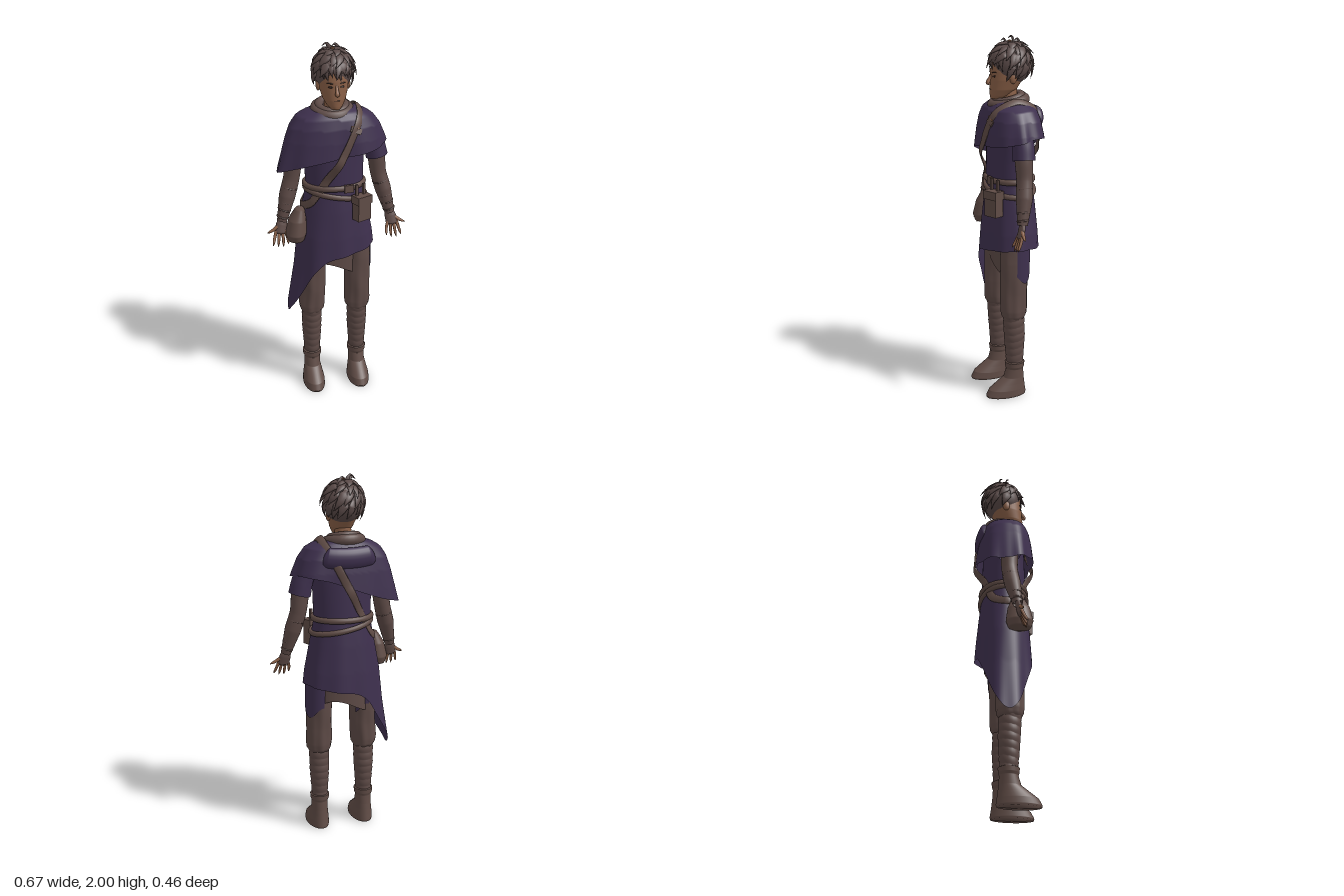
import * as THREE from 'three';
import { ParametricGeometry } from 'three/addons/geometries/ParametricGeometry.js';

const V = (x, y, z) => new THREE.Vector3(x, y, z);
const TAU = Math.PI * 2, CX = -0.015, CZ = -0.045;

export function createModel() {
  const mat = (name, color, side = THREE.FrontSide) => {
    const m = new THREE.MeshStandardMaterial({ color, side });
    m.name = name;
    return m;
  };
  const purple = mat('purple cloth', 0x3e304e, THREE.DoubleSide);
  const brown = mat('brown cloth', 0x5d4a46, THREE.DoubleSide);
  const leather = mat('leather', 0x604c46);
  const skin = mat('skin', 0x8a6047);
  const hairMat = mat('hair', 0x594947);
  const dark = mat('dark features', 0x35241f);

  const model = new THREE.Group();
  const figure = new THREE.Group();
  figure.name = 'figure';
  figure.rotation.y = Math.PI / 6;
  model.add(figure);
  const add = (name, geo, material, pos, rot) => {
    const m = new THREE.Mesh(geo, material);
    m.name = name;
    if (pos) m.position.set(...pos);
    if (rot) m.rotation.set(...rot);
    figure.add(m);
  };

  // Rows [y, rx, rz, cx, cz] run from top to bottom; interpolate at height y
  const ringAt = (rows, y) => {
    let k = 0;
    while (k < rows.length - 2 && y < rows[k + 1][0]) k++;
    const a = rows[k], b = rows[k + 1];
    const f = THREE.MathUtils.clamp((a[0] - y) / (a[0] - b[0]), 0, 1);
    return [1, 2, 3, 4].map(i => a[i] * (1 - f) + b[i] * f);
  };
  // Stack of horizontal ellipses with an optional slanted hem and folds
  const loft = (rows, nu, nv, { hem, fold, from = 0, to = TAU } = {}) =>
    new ParametricGeometry((u, v, p) => {
      const a = from + u * (to - from), top = rows[0][0];
      const y = top + v * ((hem ? hem(a) : rows[rows.length - 1][0]) - top);
      const [rx, rz, cx, cz] = ringAt(rows, y);
      const k = 1 + (fold ? fold(a, v, y) : 0);
      p.set(cx + rx * k * Math.cos(a), y, cz + rz * k * Math.sin(a));
    }, nu, nv);
  // Flattened tube along a curve; up() gives the thin direction
  const limb = (pts, radii, { flat = 1, up = () => V(0, 0, 1), closed = false, nu = 12, nv = 20 } = {}) => {
    const curve = new THREE.CatmullRomCurve3(pts, closed);
    return new ParametricGeometry((u, v, p) => {
      const c = curve.getPoint(v), T = curve.getTangent(v), N = up(c);
      N.addScaledVector(T, -N.dot(T)).normalize();
      const S = N.clone().cross(T);
      const x = v * (radii.length - 1), i = Math.min(Math.floor(x), radii.length - 2);
      const r = radii[i] + (radii[i + 1] - radii[i]) * (x - i), a = u * TAU;
      p.copy(c).addScaledVector(S, r * Math.cos(a)).addScaledVector(N, r * flat * Math.sin(a));
    }, nu, nv);
  };
  const ball = (rx, ry, rz) => new THREE.SphereGeometry(1, 24, 16).scale(rx, ry, rz);
  const centred = rows => rows.map(r => [...r, CX, CZ]);

  // Tunic with a long point on the right side
  const tunicRows = centred([[1.61, .13, .09], [1.5, .168, .115], [1.35, .16, .118], [1.22, .157, .12],
    [1.1, .18, .133], [.95, .208, .146], [.75, .228, .158], [.45, .275, .17]]);
  add('tunic', loft(tunicRows, 80, 40, {
    hem: a => .838 + .035 * Math.cos(a) - .33 * Math.max(0, -Math.cos(a)) ** 2.8,
    fold: (a, v) => .035 * Math.max(0, v - .45) * Math.sin(a * 9 + 1) + .02 * v * Math.sin(a * 4),
  }), purple);
  add('underskirt', loft(centred([[1, .15, .105], [.68, .15, .1]]), 40, 6, {
    hem: a => .74 - .04 * Math.sin(a * 2 + .6),
  }), brown);

  // Shoulder cape, boxy in plan and longer on the right
  const capeRows = centred([[1.672, .06, .055], [1.65, .15, .095], [1.62, .205, .125], [1.57, .24, .14],
    [1.5, .266, .15], [1.4, .294, .158], [1.3, .32, .165]]);
  const capeHem = a => 1.408 + .08 * Math.cos(a) - .02 * Math.sin(a * 2 + .6);
  const corner = a => .07 * Math.sin(2 * a) ** 2;
  add('cape', loft(capeRows, 80, 24, {
    hem: capeHem,
    fold: (a, v) => corner(a) + .03 * v * Math.sin(a * 7 + .5) + .012 * v * Math.sin(a * 12),
  }), purple);
  // Folded hood resting on the upper back
  add('hood', limb([V(-.15, 1.59, -.15), V(-.125, 1.582, -.16), V(-.012, 1.575, -.172), V(.1, 1.582, -.16), V(.125, 1.59, -.15)],
    [.004, .045, .056, .058, .058, .058, .056, .045, .004], { flat: .62, nu: 20, nv: 32 }), purple);
  for (const [r, t, y, tilt] of [[.086, .03, 1.65, .2], [.07, .024, 1.668, .25]])
    add('neckScarf', new THREE.TorusGeometry(r, t, 12, 40).rotateX(Math.PI / 2 + tilt), brown, [-.025, y, -.045]);

  // Two belts around the waist
  const band = (name, pts, half, flat) => add(name, limb(pts, [half, half], {
    flat, closed: true, nv: 96, up: p => V(p.x - CX, Math.max(0, p.y - 1.5), p.z - CZ),
  }), leather);
  const waist = height => Array.from({ length: 36 }, (_, i) => {
    const a = i / 36 * TAU, y = height(a), [rx, rz] = ringAt(tunicRows, y);
    return V(CX + (rx + .006) * Math.cos(a), y, CZ + (rz + .006) * Math.sin(a));
  });
  band('upperBelt', waist(() => 1.24), .016, .75);
  band('lowerBelt', waist(a => 1.19 - .03 * Math.cos(a)), .015, .75);

  // Diagonal strap from left shoulder to right hip, lying on cape and tunic
  const strapSide = sign => [[.108, 1.64], [.09, 1.6], [.045, 1.51], [.01, 1.44], [-.018, 1.388], [-.075, 1.29], [-.122, 1.21],
    [-.16, 1.15]].map(([x, y]) => {
    const overCape = y > 1.38;
    const [rx, rz] = ringAt(overCape ? capeRows : tunicRows, y);
    const a = Math.acos((x - CX) / rx), k = overCape ? 1 + corner(a) : 1;
    return V(x, y, CZ + sign * (rz * k * Math.sin(a) + .005));
  });
  band('shoulderStrap', [V(.112, 1.668, CZ), ...strapSide(1), V(-.2, 1.12, CZ), ...strapSide(-1).reverse()], .022, .25);
  add('strapBuckle', new THREE.BoxGeometry(.06, .03, .016), leather, [.075, 1.565, .09], [-.35, .2, -.35]);
  add('strapBuckleBar', new THREE.BoxGeometry(.05, .006, .008), skin, [.075, 1.582, .092], [-.35, .2, -.35]);
  add('beltBuckle', new THREE.BoxGeometry(.05, .042, .016), leather, [.04, 1.24, .084], [0, .1, 0]);

  // Left hip pouch and right hip bag
  add('pouch', new THREE.BoxGeometry(.085, .13, .055), leather, [.11, 1.125, .09], [0, .45, 0]);
  add('pouchFlap', new THREE.BoxGeometry(.094, .045, .064), leather, [.11, 1.178, .091], [0, .45, 0]);
  for (const x of [-.022, .022])
    add('pouchLoop', new THREE.BoxGeometry(.015, .07, .012), leather, [.103 + x, 1.225, .08 - x * .4], [0, .45, 0]);
  add('hipBag', loft([[1.13, .001, .001, -.215, .01], [1.12, .025, .035, -.215, .01], [1.06, .048, .06, -.23, .012],
    [.98, .058, .074, -.24, .014], [.94, .046, .06, -.24, .014], [.922, .001, .001, -.24, .014]], 28, 24), leather);

  for (const s of [1, -1]) {
    const side = s > 0 ? 'left' : 'right';

    // Trousers, leg wraps and boot
    const lx = -.015 + s * .128, sx = -.019 + s * .132;
    add(side + 'TrouserLeg', loft([[.95, .066, .08, lx, -.035], [.8, .074, .08, lx, -.03], [.62, .07, .076, lx, -.025],
      [.52, .072, .074, sx, -.025], [.485, .067, .07, sx, -.025], [.455, .047, .05, sx, -.025]], 40, 30, {
      fold: (a, v) => .035 * v * Math.sin(a * 8 + s) + .012 * Math.sin(a * 3 + v * 14),
    }), brown);
    add(side + 'LegWraps', loft([[.475, .055, .058, sx, -.025], [.36, .053, .057, sx, -.03], [.18, .042, .045, sx, -.032]], 28, 72, {
      fold: (a, v, y) => .05 * Math.abs(Math.sin(y * 75 + Math.sin(a) * .8)),
    }), brown);
    add(side + 'Boot', loft([[.205, .04, .044, sx, -.032], [.2, .054, .056, sx, -.032], [.175, .052, .054, sx, -.032],
      [.16, .045, .049, sx, -.032], [.11, .046, .058, sx, -.026], [.075, .053, .084, sx, -.004], [.045, .06, .106, sx, .014],
      [.012, .062, .117, sx, .02], [.002, .06, .115, sx, .02], [0, .001, .001, sx, .02]], 32, 100), leather);
    // Purple cloth patch behind the thigh
    const mid = s > 0 ? -.75 : -1.2, half = s > 0 ? .9 : .5;
    add(side + 'ThighPatch', loft([[.9, .077, .086, lx, -.032], [.68, .077, .083, lx, -.028]], 16, 8, {
      from: mid - half, to: mid + half, hem: a => .71 + .03 * Math.sin(a * 3),
    }), purple);

    // Arm: short sleeve over a wrapped arm
    const at = (x, y, z) => V(-.01 + s * x, y, z);
    add(side + 'Sleeve', limb([at(.14, 1.54, -.045), at(.185, 1.52, -.045), at(.214, 1.45, -.043), at(.231, 1.375, -.04)],
      [.04, .055, .057, .06], { nu: 24 }), purple);
    add(side + 'Arm', limb([at(.19, 1.5, -.045), at(.226, 1.38, -.04), at(.24, 1.28, -.04), at(.267, 1.18, -.028), at(.302, 1.045, -.005)],
      [.045, .048, .044, .045, .027], { nu: 20, nv: 30 }), brown);
    for (let i = 0; i < 5; i++) {
      const t = i / 4;
      add(side + 'ForearmWrap', new THREE.TorusGeometry(.041 - t * .012, .005, 8, 24).rotateX(Math.PI / 2), brown,
        [-.01 + s * (.252 + t * .045), 1.23 - t * .16, -.035 + t * .026], [0, 0, s * .27]);
    }
    // Palm turned forward, thumb pointing out
    add(side + 'Glove', limb([at(.296, 1.06, -.007), at(.305, 1.025, 0), at(.312, .985, .01), at(.313, .968, .014)],
      [.024, .032, .033, .002], { flat: .5, nu: 16 }), brown);
    for (let i = 0; i < 4; i++) {
      const x = .289 + i * .016, k = (i - 1.5) * .012, tip = [.925, .91, .912, .922][i];
      add(side + 'Finger', limb([at(x, .995, .01), at(x + k * .6, .96, .022), at(x + k + .004, tip, .042)],
        [.009, .009, .0085, .008, .007, .001], { nu: 8, nv: 15 }), skin);
    }
    add(side + 'Thumb', limb([at(.318, 1.025, .002), at(.35, 1.003, .008), at(.387, .985, .012)],
      [.012, .011, .01, .009, .007, .001], { nu: 8, nv: 15 }), skin);

    // Ear, eye and brow
    add(side + 'Ear', ball(.012, .03, .02), skin, [-.02 + s * .08, 1.785, -.04]);
    add(side + 'Eye', ball(.013, .005, .004), dark, [-.02 + s * .032, 1.793, .05], [0, s * .4, 0]);
    add(side + 'Brow', ball(.018, .003, .004), dark, [-.02 + s * .034, 1.813, .05], [0, s * .4, s * .05]);
  }

  // Head and face
  add('neck', new THREE.CylinderGeometry(.042, .05, .13, 24), skin, [-.02, 1.68, -.045]);
  add('head', loft([[1.95, .001, .001, -.02, -.045], [1.94, .04, .05, -.02, -.045], [1.88, .077, .094, -.02, -.045],
    [1.82, .08, .095, -.02, -.038], [1.77, .075, .09, -.02, -.03], [1.72, .06, .075, -.02, -.012], [1.69, .043, .055, -.02, .006],
    [1.672, .024, .03, -.02, .028], [1.666, .001, .001, -.02, .03]], 36, 44), skin);
  add('nose', limb([V(-.02, 1.805, .05), V(-.02, 1.775, .066), V(-.02, 1.757, .072), V(-.02, 1.75, .06)],
    [.006, .009, .013, .004]), skin);
  add('mouth', ball(.016, .0025, .003), dark, [-.02, 1.722, .061]);

  // Hair: a cap covered in overlapping curved locks
  const HC = V(-.018, 1.852, -.055), HR = V(.1, .113, .106);
  add('hairCap', ball(HR.x, HR.y, HR.z), hairMat, HC.toArray());
  add('crownScalp', new THREE.CylinderGeometry(.01, .01, .008, 16), skin, [-.02, 1.972, -.048]);
  const onSkull = (phi, theta, k) => V(
    HC.x + HR.x * k * Math.sin(theta) * Math.cos(phi),
    HC.y + HR.y * k * Math.cos(theta),
    HC.z + HR.z * k * Math.sin(theta) * Math.sin(phi));
  let seed = 7;
  const rnd = () => (seed = (seed * 16807) % 2147483647) / 2147483647;
  const lock = (phi, t0, t1, swirl, lift, w) => add('hairLock', limb(
    [0, .35, .7, 1].map(f => onSkull(phi + swirl * f, t0 + (t1 - t0) * f, .96 + .08 * Math.sin(f * 3) + lift * f * f)),
    [w * .5, w, w * .8, w * .4, .001], { flat: .35, up: p => p.clone().sub(HC), nu: 8, nv: 12 }), hairMat);
  for (const [n, t0, t1, lift] of [[8, .16, .85, .08], [13, .5, 1.3, .12], [16, .9, 1.7, .14], [16, 1.4, 2.2, .06]])
    for (let i = 0; i < n; i++) {
      const phi = (i + rnd() * .6) / n * TAU, front = Math.sin(phi);
      if (front > .35 && t0 > 1.2) continue;
      const end = front > .45 ? Math.min(t1, 1.62) : t1;
      lock(phi, t0, end + (rnd() - .5) * .2, .3 + rnd() * .4, lift + rnd() * .2, .02 + rnd() * .01);
    }
  // Swept fringe
  for (let i = 0; i < 8; i++)
    lock(2.45 - i * .21, .75, 1.74 + .12 * Math.sin(i * 2.1), -.25, .1 + .03 * (i % 3), .021);
  // Crown tufts
  for (const [x, z, h] of [[-.05, -.075, 2], [0, -.09, 1.99], [-.07, -.04, 1.985]])
    add('crownTuft', limb([V(x + .025, 1.945, z), V(x + .015, h - .025, z), V(x, h - .006, z + .005), V(x - .025, h - .018, z + .015)],
      [.014, .012, .006, .001], { flat: .5, nu: 8, nv: 10 }), hairMat);

  return model;
}
